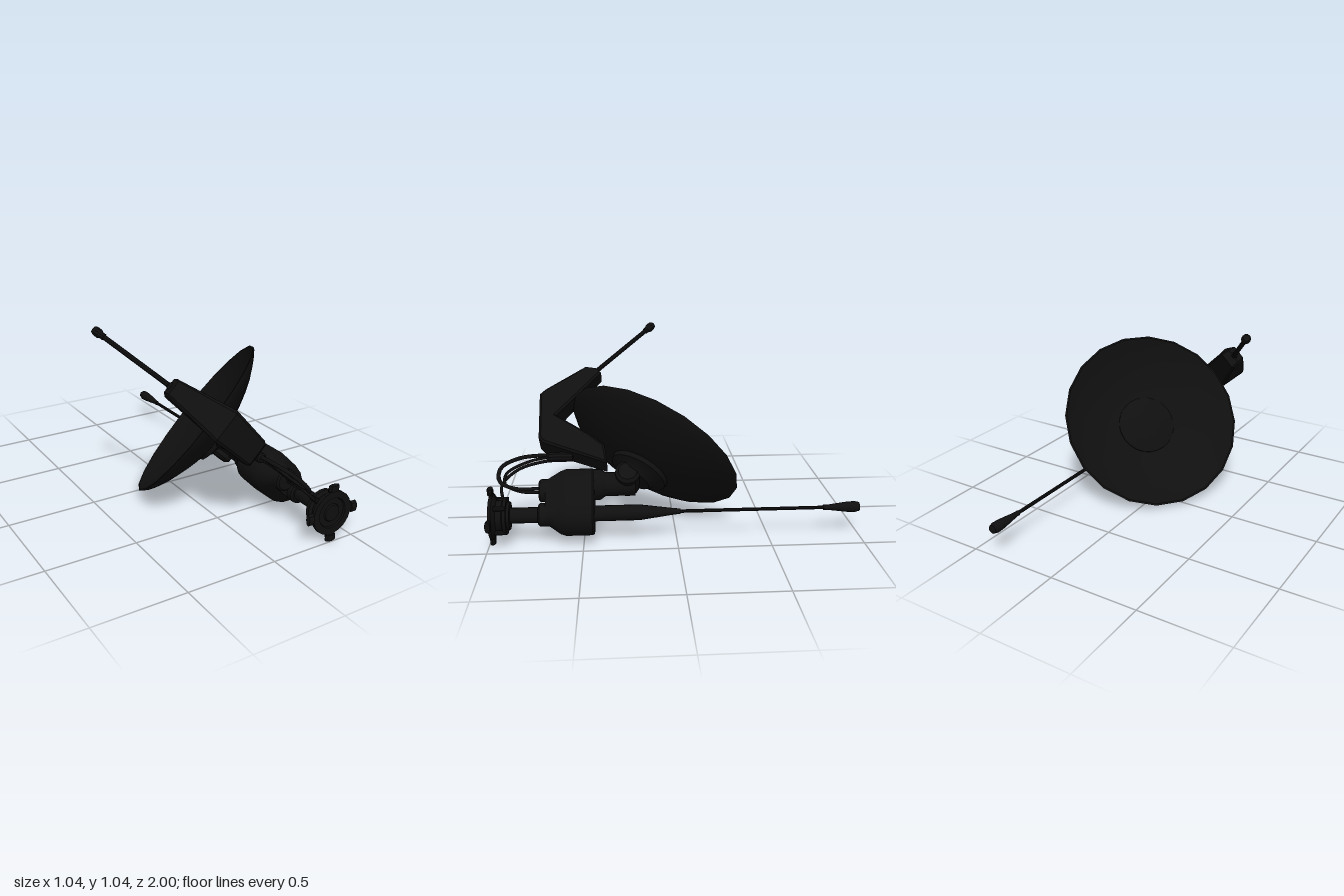
import * as THREE from 'three';
import { toCreasedNormals } from 'three/addons/utils/BufferGeometryUtils.js';

const black = new THREE.MeshStandardMaterial({ color: 0x0f0f0f, side: THREE.DoubleSide });
black.name = 'black';

function add(parent, name, geometry, crease = 0.6) {
  const mesh = new THREE.Mesh(toCreasedNormals(geometry, crease), black);
  mesh.name = name;
  parent.add(mesh);
  return mesh;
}

// Turned part: profile of [radius, distance] along a direction from an origin
function turned(parent, name, profile, origin, dir, sides = 16) {
  const geo = new THREE.LatheGeometry(profile.map(p => new THREE.Vector2(...p)), sides);
  const mesh = add(parent, name, geo);
  mesh.position.set(...origin);
  mesh.quaternion.setFromUnitVectors(new THREE.Vector3(0, 1, 0), new THREE.Vector3(...dir).normalize());
  return mesh;
}

// Loft of oval sections [z, radius, low centre, high centre], with z rising
function ovalLoft(sections, half = 10) {
  const pos = [], idx = [], n = (half + 1) * 2;
  for (const [z, r, lo, hi] of sections) {
    for (let k = 0; k < n; k++) {
      const top = k <= half;
      const a = Math.PI * (top ? k : k - 1) / half;
      pos.push(r * Math.cos(a), (top ? hi : lo) + r * Math.sin(a), z);
    }
  }
  for (let i = 0; i < sections.length - 1; i++) {
    for (let j = 0; j < n; j++) {
      const a = i * n + j, b = i * n + (j + 1) % n;
      idx.push(a, b, b + n, a, b + n, a + n);
    }
  }
  const geo = new THREE.BufferGeometry();
  geo.setAttribute('position', new THREE.Float32BufferAttribute(pos, 3));
  geo.setIndex(idx);
  geo.computeVertexNormals();
  return geo;
}

export function createModel() {
  const model = new THREE.Group();
  model.name = 'dishAntenna';

  // Everything but the cables is symmetric about a plane leaning 45 degrees round the shaft
  const body = new THREE.Group();
  body.name = 'leaningBody';
  body.position.set(0.37, 0.157, 0);
  body.rotation.z = Math.PI / 4;
  model.add(body);
  const Z = [0, 0, 1], O = [0, 0, 0];

  // Shaft, long rod and its flared tip
  turned(body, 'shaft', [[0, -0.02], [0.014, -0.02], [0.018, 0.02], [0.042, 0.2], [0.042, 0.92], [0, 0.92]], O, Z);
  turned(body, 'longRod', [[0.01, -0.82], [0.01, 0]], O, Z, 8);
  turned(body, 'rodTip', [[0, -1], [0.024, -0.998], [0.03, -0.975], [0.028, -0.93], [0.014, -0.82], [0.014, -0.8], [0, -0.8]], O, Z, 12);

  // Base flange with four lugs
  turned(body, 'flange', [[0, 0.885], [0.075, 0.885], [0.075, 0.9], [0.1, 0.9], [0.1, 0.918], [0.08, 0.925],
    [0.085, 0.955], [0.112, 0.965], [0.122, 0.972], [0.122, 0.988], [0.085, 0.988], [0.08, 0.98], [0.05, 0.98],
    [0.045, 0.988], [0, 0.988]], O, Z, 20);
  for (let i = 0; i < 4; i++) {
    const lug = new THREE.Group();
    lug.name = 'lug';
    lug.rotation.z = Math.PI / 4 + i * Math.PI / 2;
    body.add(lug);
    add(lug, 'lugArm', new THREE.BoxGeometry(0.05, 0.05, 0.018)).position.set(0.115, 0, 0.979);
    turned(lug, 'lugFoot', [[0, 0], [0.03, 0], [0.034, 0.006], [0.034, 0.026], [0.03, 0.032], [0, 0.032]], [0.125, 0, 0.968], [1, 0, 0], 8)
      .scale.z = 0.48;
    lug.children[1].position.z = 0.984;
    const stud = turned(body, 'flangeStud', [[0, 0.9], [0.014, 0.9], [0.014, 0.965], [0, 0.965]], O, Z, 8);
    const a = i * Math.PI / 2;
    stud.position.set(Math.cos(a) * 0.095, Math.sin(a) * 0.095, 0);
  }

  // Gear housing, an oval loft narrowing toward the base
  add(body, 'housing', ovalLoft([
    [0.44, 0.001, 0, 0.14], [0.44, 0.108, 0, 0.14], [0.45, 0.115, 0, 0.14], [0.59, 0.115, 0, 0.14],
    [0.62, 0.105, 0, 0.14], [0.695, 0.06, 0.01, 0.14], [0.7, 0.06, 0.01, 0.14], [0.7, 0.001, 0.01, 0.14]]));
  for (const s of [0, 0.14]) {
    turned(body, 'housingCollar', [[0, 0.66], [0.062, 0.66], [0.062, 0.73], [0.052, 0.738], [0, 0.738]], [0, s, 0], Z);
  }

  // Neck and knuckle that carry the dish
  turned(body, 'neck', [[0, 0.22], [0.065, 0.22], [0.065, 0.38], [0.085, 0.41], [0.085, 0.46], [0, 0.46]], [0, 0.17, 0], Z);
  turned(body, 'knuckle', [[0, -0.1], [0.05, -0.1], [0.068, -0.085], [0.068, 0.085], [0.05, 0.1], [0, 0.1]], [0, 0.2, 0.26], [1, 0, 0]);

  // Dish, its centre cover and its back hub
  const centre = [0, 0.384, 0.115], facing = [0, 0.866, -0.5];
  turned(body, 'dish', [[0, -0.165], [0.1, -0.16], [0.17, -0.15], [0.24, -0.135], [0.32, -0.108], [0.4, -0.075],
    [0.47, -0.037], [0.51, -0.008], [0.52, 0.005], [0.51, 0.006], [0.46, -0.03], [0.39, -0.068], [0.31, -0.1], [0.24, -0.125],
    [0.17, -0.138], [0, -0.145]], centre, facing, 20);
  turned(body, 'centreCover', [[0.17, -0.145], [0.17, -0.13], [0.162, -0.125], [0, -0.123]], centre, facing, 24);
  turned(body, 'backHub', [[0, -0.22], [0.09, -0.22], [0.12, -0.19], [0.165, -0.175], [0.17, -0.145]], centre, facing, 24);

  // Bent feed arm: side outline given a width that varies along its length
  const outline = [[0.27, 0.37], [0.38, 0.385], [0.45, 0.47], [0.566, 0.65], [0.86, 0.4], [0.895, 0.43],
    [0.907, 0.49], [0.735, 0.715], [0.7, 0.745], [0.43, 0.745], [0.4, 0.72]];
  const armGeo = new THREE.ExtrudeGeometry(new THREE.Shape(outline.map(([s, z]) => new THREE.Vector2(-z, s))),
    { depth: 1.7, bevelEnabled: true, bevelThickness: 0.15, bevelSize: 0.012, bevelOffset: -0.012, bevelSegments: 1 });
  armGeo.translate(0, 0, -0.85).rotateY(Math.PI / 2);
  const p = armGeo.attributes.position;
  for (let i = 0; i < p.count; i++) {
    const s = p.getY(i);
    const half = s < 0.7 ? THREE.MathUtils.mapLinear(s, 0.27, 0.7, 0.066, 0.093)
      : THREE.MathUtils.mapLinear(s, 0.7, 0.907, 0.093, 0.046);
    p.setX(i, p.getX(i) * half);
  }
  armGeo.computeVertexNormals();
  add(body, 'feedArm', armGeo, 0.4);

  // Feed rod with a knob
  const rodDir = [0, 0.69, -0.72];
  turned(body, 'feedRod', [[0, 0], [0.022, 0], [0.022, 0.04], [0.0135, 0.045], [0.0135, 0.47], [0, 0.47]], [0, 0.87, 0.462], rodDir, 8);
  turned(body, 'feedKnob', [[0, 0.455], [0.018, 0.455], [0.018, 0.475], [0.025, 0.485], [0.025, 0.51], [0.018, 0.525], [0, 0.525]],
    [0, 0.87, 0.462], rodDir, 10);

  // Cables looping from the arm back to the housing
  const cables = [
    [0.011, [[0.13, 0.4, 0.56], [0.13, 0.41, 0.72], [0.15, 0.4, 0.86], [0.19, 0.36, 0.95], [0.24, 0.3, 0.95], [0.27, 0.27, 0.86], [0.275, 0.27, 0.72]]],
    [0.008, [[0.15, 0.39, 0.56], [0.14, 0.4, 0.7], [0.16, 0.37, 0.84], [0.2, 0.33, 0.92], [0.25, 0.29, 0.92], [0.275, 0.255, 0.84], [0.28, 0.25, 0.72]]],
    [0.009, [[0.13, 0.38, 0.58], [0.15, 0.38, 0.72], [0.18, 0.345, 0.86], [0.24, 0.28, 0.94], [0.3, 0.22, 0.93]]]];
  for (const [radius, pts] of cables) {
    const curve = new THREE.CatmullRomCurve3(pts.map(q => new THREE.Vector3(...q)));
    add(model, 'cable', new THREE.TubeGeometry(curve, 28, radius, 6), 1.2);
  }
  turned(model, 'cableSocket', [[0, 0.56], [0.028, 0.56], [0.028, 0.69], [0.02, 0.7], [0, 0.7]], [0.135, 0.4, 0], Z, 10);

  return model;
}
